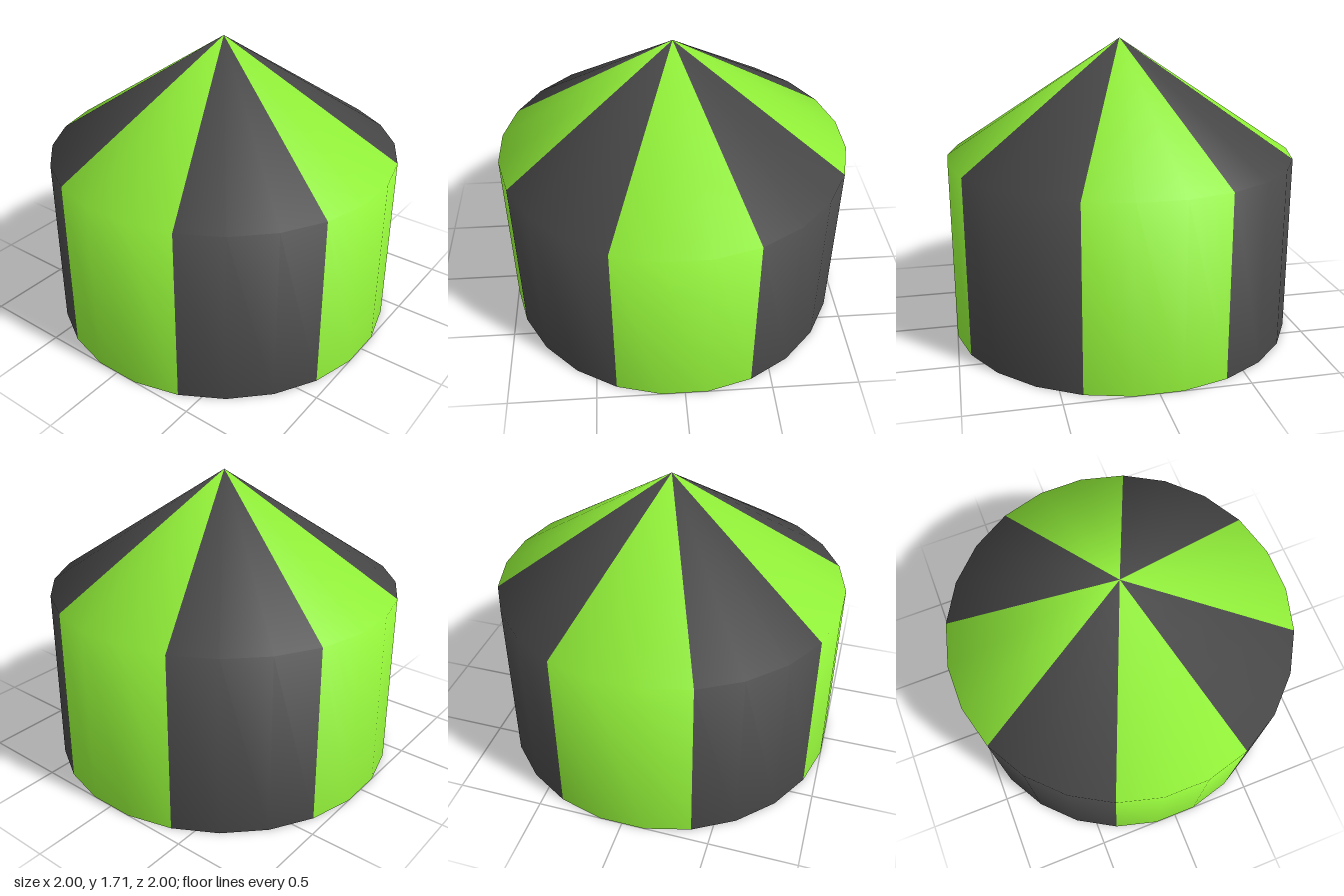
import * as THREE from 'three';

const SIDES = 24;
const STRIPES = 8;
const RADIUS = 1 / Math.cos(Math.PI / SIDES); // flats of the polygon touch x, z = ±1
const EAVE = 1.035;
const APEX = 1.705;

// One wedge of wall and roof, smooth over the eave and pointing up at the tip
function stripeGeometry(index) {
  const profile = [[RADIUS, 0], [RADIUS, EAVE], [0, APEX]].map(([r, y]) => new THREE.Vector2(r, y));
  const angle = (Math.PI * 2) / STRIPES;
  const geometry = new THREE.LatheGeometry(profile, SIDES / STRIPES, (index - 0.5) * angle, angle);
  const normal = geometry.attributes.normal;
  for (let i = 2; i < normal.count; i += 3) normal.setXYZ(i, 0, 1, 0);
  return geometry;
}

export function createModel() {
  const model = new THREE.Group();
  model.name = 'stripedTent';

  const green = new THREE.MeshStandardMaterial({ color: 0x94f43a });
  const dark = new THREE.MeshStandardMaterial({ color: 0x484848 });

  // Alternating stripes, green facing the four axes
  for (let i = 0; i < STRIPES; i++) {
    const stripe = new THREE.Mesh(stripeGeometry(i), i % 2 ? dark : green);
    stripe.name = i % 2 ? 'darkStripe' : 'greenStripe';
    model.add(stripe);
  }

  // Closed floor, facing down
  const floor = new THREE.Mesh(new THREE.CircleGeometry(RADIUS, SIDES, Math.PI / SIDES), dark);
  floor.name = 'floor';
  floor.rotation.x = Math.PI / 2;
  model.add(floor);

  return model;
}
